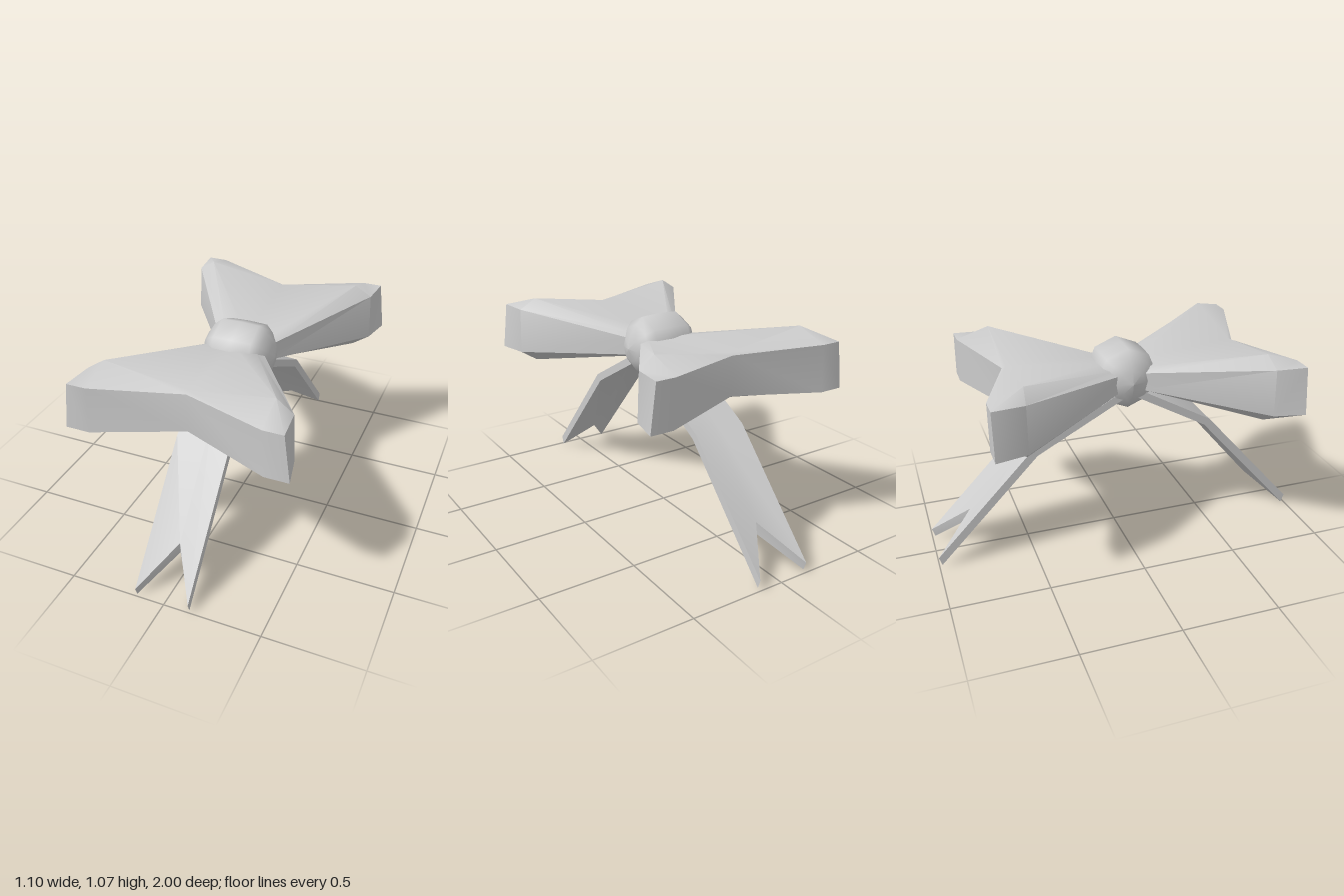
import * as THREE from 'three';
import { toCreasedNormals } from 'three/addons/utils/BufferGeometryUtils.js';

const material = new THREE.MeshStandardMaterial({ color: 0xcccccc });

// Closed solid through rings ordered along +z; each ring runs along its top
// from -x to +x and back along its bottom, so end caps are strips of quads.
function loft(rings, crease) {
  const n = rings[0].length, index = [];
  const quad = (a, b, c, d) => index.push(a, b, c, a, c, d);
  for (let k = 0; k < rings.length - 1; k++) {
    for (let i = 0; i < n; i++) {
      const j = (i + 1) % n, p = k * n, q = p + n;
      quad(p + i, q + i, q + j, p + j);
    }
  }
  const e = (rings.length - 1) * n;
  for (let i = 0; i < n / 2 - 1; i++) {
    quad(i, i + 1, n - 2 - i, n - 1 - i);
    quad(e + i, e + n - 1 - i, e + n - 2 - i, e + i + 1);
  }
  const g = new THREE.BufferGeometry();
  g.setAttribute('position', new THREE.Float32BufferAttribute(rings.flat(2), 3));
  g.setIndex(index);
  return toCreasedNormals(g, crease);
}

// Mirrors half a ring row [side, peak, centre] to the full width
const row = (half) => {
  const [s, p, c] = half, m = ([x, y, z]) => [-x, y, z];
  return [m(s), m(p), c, p, s];
};
const loopRing = (top, bottom) => [...row(top), ...row(bottom).reverse()];

// Puffed ribbon loop, narrow at the knot, flaring to a notched outer face
function loopGeometry() {
  return loft([
    loopRing([[0.15, 0.94, 0.1], [0.11, 0.955, 0.11], [0, 0.955, 0.11]],
      [[0.15, 0.85, 0.1], [0.11, 0.835, 0.11], [0, 0.835, 0.11]]),
    loopRing([[0.505, 1.02, 0.66], [0.42, 1.075, 0.65], [0, 1.01, 0.645]],
      [[0.515, 0.78, 0.66], [0.43, 0.725, 0.65], [0, 0.79, 0.645]]),
    loopRing([[0.52, 1.02, 0.82], [0.42, 1.02, 0.82], [0, 1.0, 0.665]],
      [[0.55, 0.78, 0.82], [0.43, 0.78, 0.82], [0, 0.8, 0.665]]),
  ], 0.8);
}

// Ribbon tail: edge and middle are paths of [z, y]; the middle ends in a V notch
function tailGeometry(xs, edge, middle) {
  const drops = [[-0.02, -0.035], [-0.03, -0.03], [-0.015, -0.045]];
  const midDrops = [[-0.02, -0.035], [-0.02, -0.045], [0, -0.06]];
  const rings = edge.map((e, k) => {
    const m = middle[k];
    const top = xs.map((x, i) => (i === 1 ? [x, m[1], m[0]] : [x, e[1], e[0]]));
    const low = top.map(([x, y, z], i) => {
      const d = i === 1 ? midDrops[k] : drops[k];
      return [x, y + d[1], z + d[0]];
    });
    return [...top, ...low.reverse()];
  });
  return loft(rings, 0.5);
}

export function createModel() {
  const model = new THREE.Group();
  model.name = 'ribbonBow';
  const add = (name, geometry) => {
    const mesh = new THREE.Mesh(geometry, material);
    mesh.name = name;
    model.add(mesh);
    return mesh;
  };

  // Two loops, mirrored about the knot
  const loop = loopGeometry();
  add('frontLoop', loop);
  const backLoop = add('backLoop', loop);
  backLoop.rotation.y = Math.PI;
  backLoop.position.z = 0.084;

  // Eight-sided knot, turned about the x axis
  const profile = [[0, -0.19], [0.07, -0.175], [0.125, -0.14], [0.16, -0.1], [0.164, 0],
    [0.16, 0.1], [0.125, 0.14], [0.07, 0.175], [0, 0.19]].map(([r, h]) => new THREE.Vector2(r, h));
  const knot = add('knot', new THREE.LatheGeometry(profile, 8).rotateZ(Math.PI / 2));
  knot.position.set(0, 0.9, 0.042);

  // Two hanging tails
  add('frontTail', tailGeometry([-0.15, 0, 0.13],
    [[0.08, 0.855], [0.49, 0.625], [1.0, 0.05]],
    [[0.08, 0.86], [0.4, 0.71], [0.8, 0.23]]));
  const backTail = add('backTail', tailGeometry([-0.13, 0, 0.15],
    [[0.0, 0.855], [0.485, 0.595], [1.0, 0.06]],
    [[0.0, 0.86], [0.39, 0.665], [0.8, 0.23]]));
  backTail.rotation.y = Math.PI;

  return model;
}
